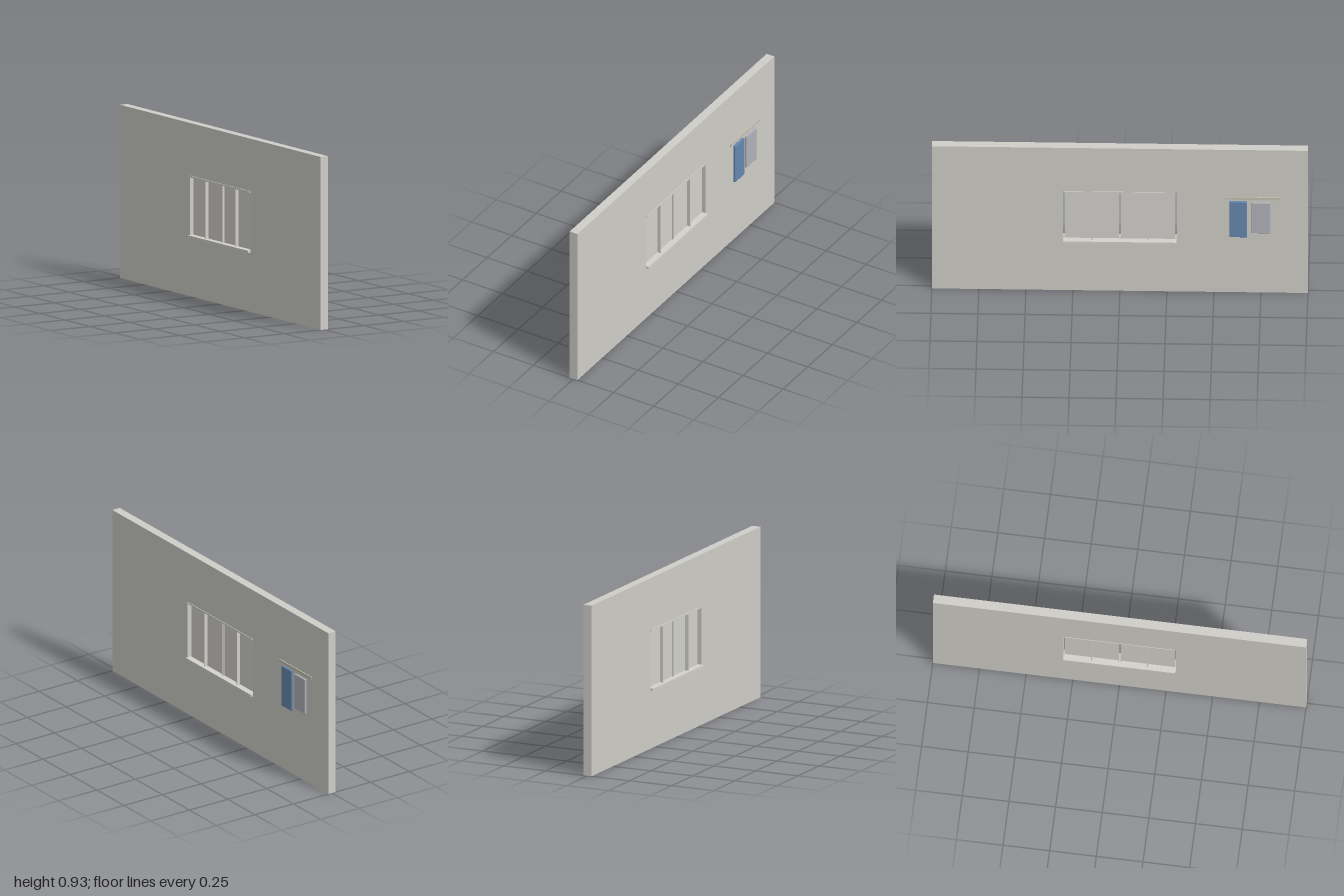
import * as THREE from 'three';
import { RoundedBoxGeometry } from 'three/addons/geometries/RoundedBoxGeometry.js';

export function createModel() {
  const model = new THREE.Group();
  model.name = 'wallWithWindow';
  const mat = (name, color) => {
    const m = new THREE.MeshStandardMaterial({ color });
    m.name = name;
    return m;
  };
  const plaster = mat('plaster', 0xcfcec8);
  const frame = mat('window frame', 0xd3d2cc);
  const wood = mat('pale rail', 0xc4c0b0);
  const blue = mat('blue cloth', 0x6688b0);
  const grey = mat('grey cloth', 0xb2b2ba);

  // Box given by its limits on each axis; a radius rounds its edges
  const box = (parent, name, material, [x0, x1], [y0, y1], [z0, z1], radius = 0) => {
    const size = [x1 - x0, y1 - y0, z1 - z0];
    const geometry = radius
      ? new RoundedBoxGeometry(...size, 2, radius)
      : new THREE.BoxGeometry(...size);
    const mesh = new THREE.Mesh(geometry, material);
    mesh.name = name;
    mesh.position.set((x0 + x1) / 2, (y0 + y1) / 2, (z0 + z1) / 2);
    parent.add(mesh);
    return mesh;
  };

  // Wall in three bands, the middle one open for the window
  const thick = [-0.024, 0.024];
  const wall = new THREE.Group();
  wall.name = 'wall';
  model.add(wall);
  box(wall, 'lowerWall', plaster, thick, [0, 0.317], [-1, 1]);
  box(wall, 'upperWall', plaster, thick, [0.65, 0.933], [-1, 1]);
  box(wall, 'middleWallFront', plaster, thick, [0.317, 0.65], [0.302, 1]);
  box(wall, 'middleWallBack', plaster, thick, [0.317, 0.65], [-1, -0.302]);

  // Window: sill, header, and two sashes with narrow gaps around them
  const win = new THREE.Group();
  win.name = 'window';
  model.add(win);
  box(win, 'sill', frame, [-0.039, 0.039], [0.317, 0.33], [-0.3, 0.3]);
  box(win, 'header', frame, [-0.026, 0.026], [0.64, 0.649], [-0.296, 0.296]);
  for (const s of [1, -1]) {
    const span = (a, b) => (s > 0 ? [a, b] : [-b, -a]);
    box(win, 'innerPanel', frame, [-0.004, 0.004], [0.33, 0.64], span(0.006, 0.149));
    box(win, 'outerPanel', frame, [-0.004, 0.004], [0.33, 0.64], span(0.151, 0.296));
    box(win, 'mullion', frame, [-0.023, 0.023], [0.33, 0.64], span(0.147, 0.153));
    box(win, 'meetingStile', frame, [-0.011, 0.011], [0.33, 0.64], span(0.004, 0.009));
  }

  // Towel rail with two hanging cloths
  const towels = new THREE.Group();
  towels.name = 'towelRack';
  model.add(towels);
  box(towels, 'rail', wood, [0.023, 0.029], [0.61, 0.625], [-0.85, -0.55]);
  box(towels, 'blueTowel', blue, [0.023, 0.037], [0.368, 0.6], [-0.677, -0.583], 0.004);
  box(towels, 'greyTowel', grey, [0.023, 0.036], [0.395, 0.595], [-0.8, -0.7], 0.004);

  return model;
}
